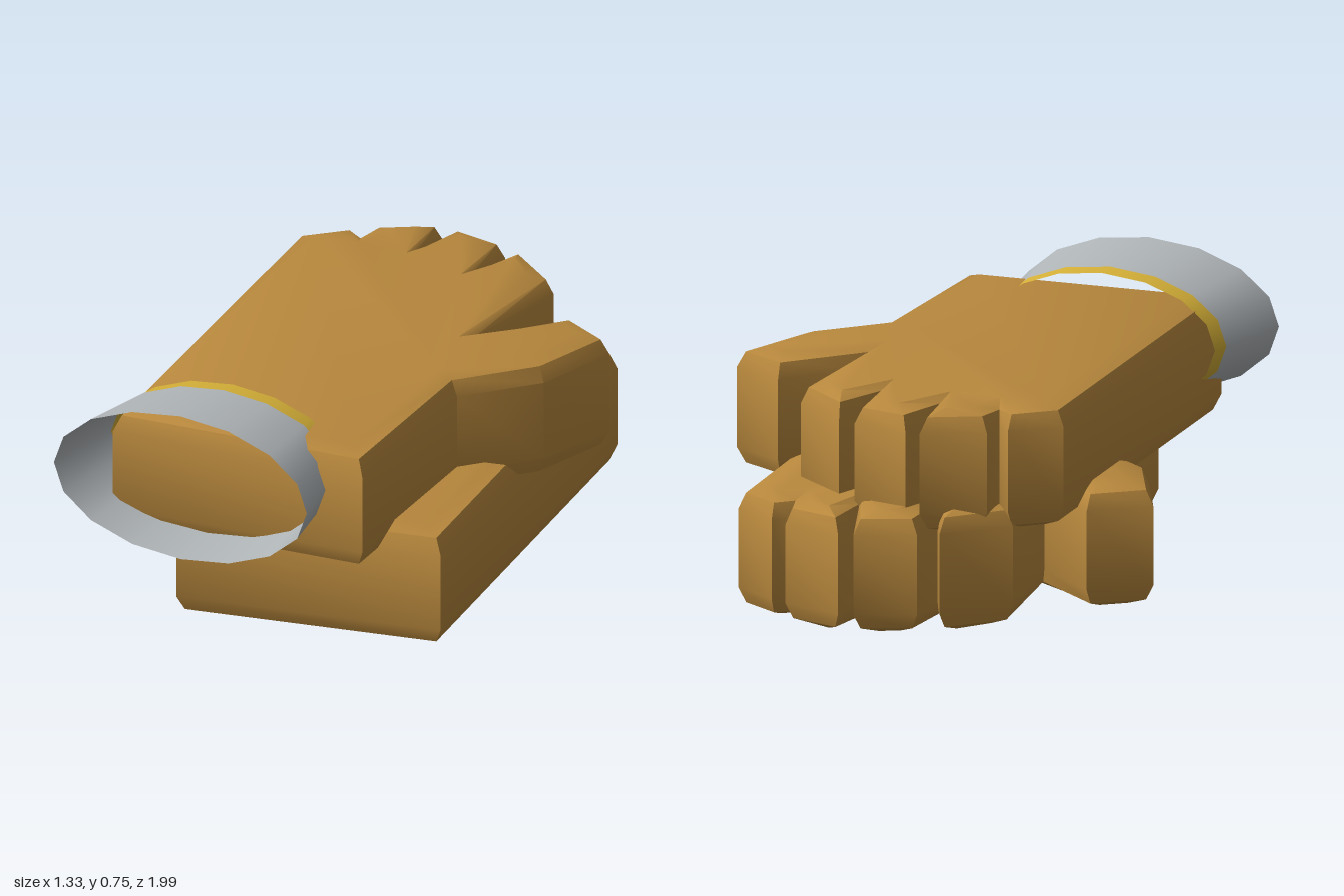
import * as THREE from 'three';
import { toCreasedNormals } from 'three/addons/utils/BufferGeometryUtils.js';

const leather = new THREE.MeshStandardMaterial({ name: 'tan leather', color: 0xb8883d });
const grey = new THREE.MeshStandardMaterial({ name: 'grey cuff', color: 0xb0b5b8, side: THREE.DoubleSide });
const gold = new THREE.MeshStandardMaterial({ name: 'gold trim', color: 0xd4af37, side: THREE.DoubleSide });

// Hand outline seen from above, as [x, z], fingers towards -z, thumb on +x
const hand = [
  [-0.378, 0.85], [-0.505, -0.59],
  [-0.38, -0.71], [-0.335, -0.67], [-0.33, -0.75],
  [-0.155, -0.84], [-0.135, -0.67], [-0.11, -0.84],
  [0.07, -0.8], [0.085, -0.6], [0.13, -0.775],
  [0.315, -0.63], [0.31, -0.185],
  [0.485, -0.41], [0.66, -0.31], [0.585, -0.035],
  [0.405, 0.17], [0.425, 0.82],
];

// Padded slab with a rounded edge, from an outline; its underside is at y = 0
function gloveGeometry(outline, height) {
  const bevel = 0.065;
  const shape = new THREE.Shape(outline.map(([x, z]) => new THREE.Vector2(x, -z)));
  const geo = new THREE.ExtrudeGeometry(shape, {
    depth: height - 2 * bevel,
    bevelThickness: bevel,
    bevelSize: 0.07,
    bevelOffset: -0.07,
    bevelSegments: 2,
  });
  geo.rotateX(-Math.PI / 2).translate(0, bevel, 0);
  return toCreasedNormals(geo, 0.6);
}

// Open oval band between two depths
function band(name, rFront, rBack, zFront, zBack, material) {
  const geo = new THREE.CylinderGeometry(rFront, rBack, zFront - zBack, 16, 1, true);
  geo.rotateX(Math.PI / 2).scale(1, 0.548, 1);
  const mesh = new THREE.Mesh(geo, material);
  mesh.name = name;
  mesh.position.set(-0.08, 0.5275, (zFront + zBack) / 2);
  return mesh;
}

export function createModel() {
  const model = new THREE.Group();
  model.name = 'pairOfGloves';

  // Upper glove
  const upper = new THREE.Mesh(gloveGeometry(hand, 0.372), leather);
  upper.name = 'upperGlove';
  upper.position.y = 0.284;
  model.add(upper);

  // Lower glove: mirrored outline, turned slightly and shifted
  const a = -0.195, c = Math.cos(a) * 1.012, s = Math.sin(a) * 1.012;
  const mirrored = hand.map(([x, z]) => [-x * c - z * s + 0.048, -x * s + z * c - 0.13]);
  const lower = new THREE.Mesh(gloveGeometry(mirrored, 0.368), leather);
  lower.name = 'lowerGlove';
  model.add(lower);

  // Flared cuff with a trim band
  model.add(band('cuff', 0.415, 0.37, 1, 0.72, grey));
  model.add(band('cuffTrim', 0.37, 0.36, 0.72, 0.66, gold));

  return model;
}
